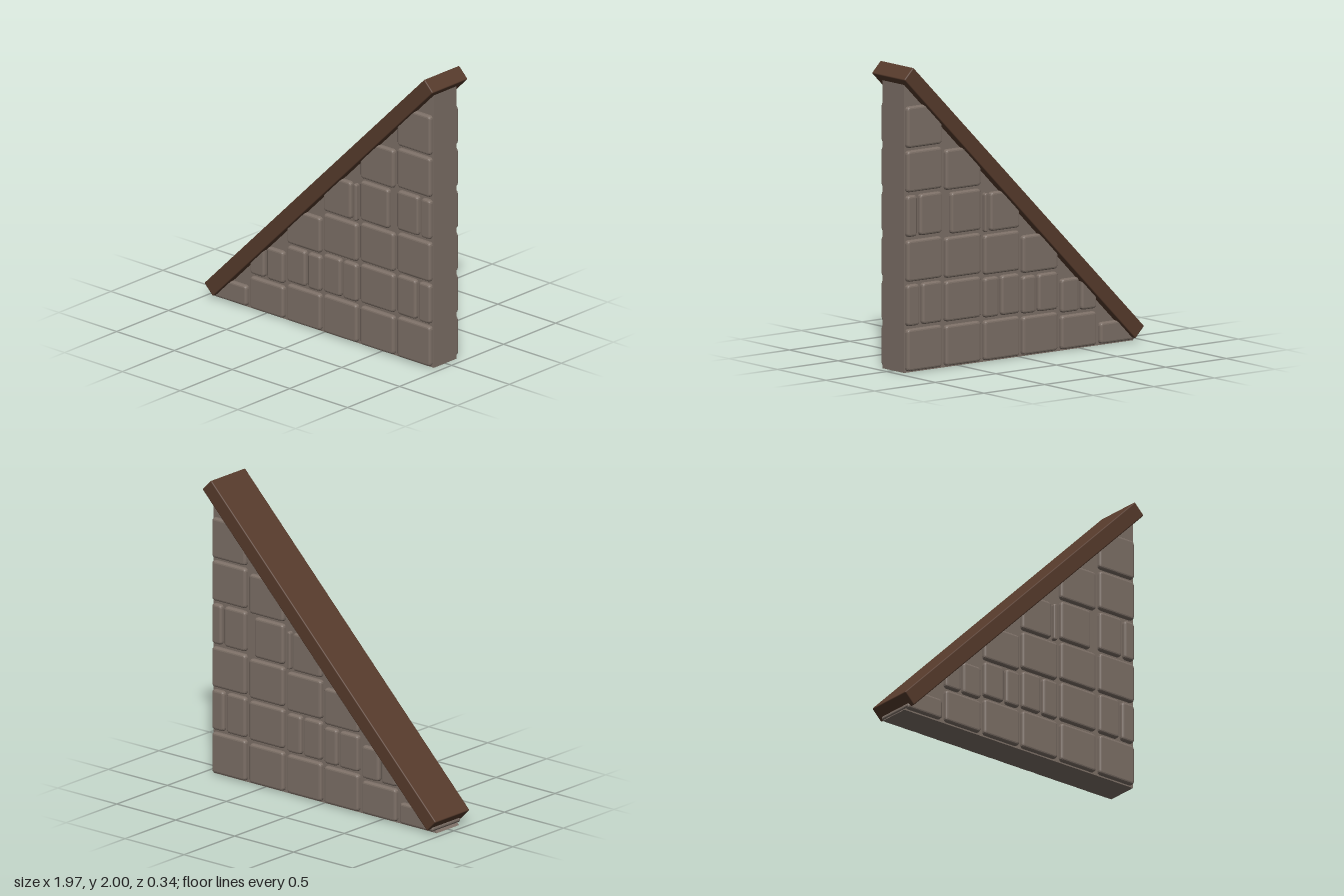
import * as THREE from 'three';
import { RoundedBoxGeometry } from 'three/addons/geometries/RoundedBoxGeometry.js';

const stone = new THREE.MeshStandardMaterial({ color: 0x7d7067 });
stone.name = 'stone';
const wood = new THREE.MeshStandardMaterial({ color: 0x573b2c });
wood.name = 'brown wood';

const SLOPE = 0.98; // stones are cut along y = x + SLOPE, inside the beam
const BEVEL = 0.016;

// Keep the part of a polygon below the roof line y = x + k
function cutByRoof(points, k) {
  const out = [];
  points.forEach((a, i) => {
    const b = points[(i + 1) % points.length];
    const da = a.y - a.x - k, db = b.y - b.x - k;
    if (da <= 0) out.push(a);
    if (da * db < 0) out.push(a.clone().lerp(b, da / (da - db)));
  });
  return out;
}

// Polygon with softly rounded corners
function roundedShape(points, r) {
  const shape = new THREE.Shape();
  points.forEach((p, i) => {
    const prev = points[(i + points.length - 1) % points.length];
    const next = points[(i + 1) % points.length];
    const toward = (q) => p.clone().lerp(q, Math.min(0.4, r / p.distanceTo(q)));
    const a = toward(prev), b = toward(next);
    if (i === 0) shape.moveTo(a.x, a.y);
    else shape.lineTo(a.x, a.y);
    shape.quadraticCurveTo(p.x, p.y, b.x, b.y);
  });
  shape.closePath();
  return shape;
}

// A stone runs through the wall and stands proud on both faces
function makeStone(x0, x1, y0, y1) {
  const b = Math.min(BEVEL, (x1 - x0) * 0.3);
  const rect = [[x0 + b, y0 + b], [x1 - b, y0 + b], [x1 - b, y1 - b], [x0 + b, y1 - b]]
    .map(([x, y]) => new THREE.Vector2(x, y));
  const shape = roundedShape(cutByRoof(rect, SLOPE - b * Math.SQRT2), 0.008);
  const geo = new THREE.ExtrudeGeometry(shape, {
    depth: 0.28 - 2 * b, bevelEnabled: true, bevelSize: b, bevelThickness: b,
    bevelSegments: 3, curveSegments: 3,
  });
  geo.translate(0, 0, -0.14 + b);
  const mesh = new THREE.Mesh(geo, stone);
  mesh.name = 'wallStone';
  return mesh;
}

// Columns of stones: each course is [bottom, top, x ranges]
const columns = [
  { x: [-0.94, -0.655], rows: [[0.01, 0.15]] },
  { x: [-0.625, -0.335], rows: [[0.01, 0.23], [0.25, 0.47, [-0.625, -0.5], [-0.48, -0.335]]] },
  { x: [-0.305, -0.015], rows: [[0.01, 0.26],
    [0.28, 0.525, [-0.305, -0.145], [-0.125, -0.015]], [0.545, 0.79]] },
  { x: [0.01, 0.3], rows: [[0.01, 0.27], [0.29, 0.55, [0.01, 0.16], [0.18, 0.3]],
    [0.57, 0.83], [0.85, 1.105, [0.01, 0.25], [0.27, 0.3]]] },
  { x: [0.33, 0.62], rows: [[0.01, 0.275], [0.3, 0.565], [0.585, 0.85],
    [0.87, 1.14, [0.33, 0.575]], [1.16, 1.425]] },
  { x: [0.65, 0.937], rows: [[0.01, 0.285], [0.305, 0.575, [0.65, 0.812], [0.835, 0.937]],
    [0.595, 0.865], [0.888, 1.158, [0.65, 0.832], [0.855, 0.937]], [1.18, 1.45], [1.47, 1.74]] },
];

export function createModel() {
  const model = new THREE.Group();
  model.name = 'gableWall';

  // Triangular wall core
  const tri = new THREE.Shape([[-0.95, 0], [0.945, 0], [0.945, 1.89]]
    .map(([x, y]) => new THREE.Vector2(x, y)));
  const coreGeo = new THREE.ExtrudeGeometry(tri, { depth: 0.22, bevelEnabled: false });
  coreGeo.translate(0, 0, -0.11);
  const core = new THREE.Mesh(coreGeo, stone);
  core.name = 'wallCore';
  model.add(core);

  // Raised stones
  const stones = new THREE.Group();
  stones.name = 'wallStones';
  for (const { x, rows } of columns) {
    for (const [y0, y1, ...spans] of rows) {
      for (const [x0, x1] of spans.length ? spans : [x]) stones.add(makeStone(x0, x1, y0, y1));
    }
  }
  model.add(stones);

  // Sloping roof beam
  const beam = new THREE.Mesh(new RoundedBoxGeometry(2.695, 0.105, 0.34, 2, 0.008), wood);
  beam.name = 'roofBeam';
  beam.position.set(-0.001, 1.012, 0);
  beam.rotation.z = Math.PI / 4;
  model.add(beam);

  return model;
}
